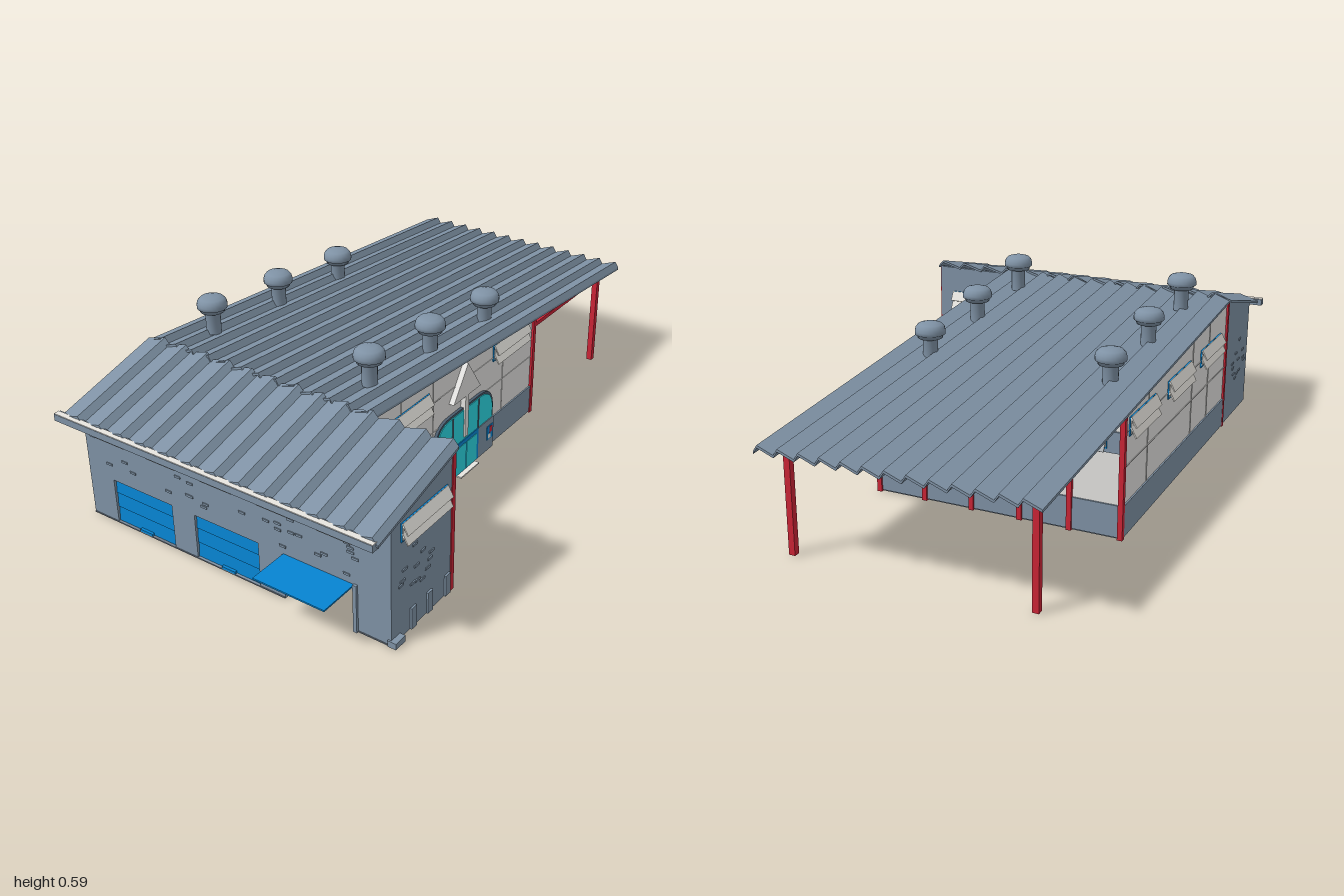
import * as THREE from 'three';

const mat = (name, color) => {
  const m = new THREE.MeshStandardMaterial({ color });
  m.name = name;
  return m;
};

export function createModel() {
  const slate = mat('slate', 0x7f92a5), dark = mat('dark frame', 0x4a5b6c), light = mat('light panel', 0xe4e3e1),
    white = mat('white trim', 0xf0eee8), grey = mat('grey louver', 0xb0b5b9), blue = mat('door blue', 0x0684d2),
    cyan = mat('cyan glass', 0x2cd8e4), red = mat('red steel', 0xcc2436), floorDark = mat('floor', 0x707c89);
  const model = new THREE.Group();
  const hallX = 0.252; // outer face of the hall's entrance wall

  const add = (name, geo, m, parent = model) => {
    const mesh = new THREE.Mesh(geo, m);
    mesh.name = name;
    parent.add(mesh);
    return mesh;
  };
  // Box given by its lower and upper limits on each axis
  const box = (name, m, x0, x1, y0, y1, z0, z1, parent) => {
    const b = add(name, new THREE.BoxGeometry(x1 - x0, y1 - y0, z1 - z0), m, parent);
    b.position.set((x0 + x1) / 2, (y0 + y1) / 2, (z0 + z1) / 2);
    return b;
  };
  const polygon = pts => new THREE.Shape(pts.map(p => new THREE.Vector2(p[0], p[1])));
  // Plate drawn in (z, y) with its outer face at x
  const sidePlate = (name, m, shape, x, t) => {
    const g = new THREE.ExtrudeGeometry(shape, { depth: t, bevelEnabled: false, curveSegments: 8 });
    g.rotateY(-Math.PI / 2);
    add(name, g, m).position.x = x;
  };
  const hallRoofY = z => 0.465 + 0.0764 * (z - 0.57);
  const frontRoofY = z => 0.465 - 0.263 * (z - 0.57);

  // Floor and hall walls
  box('hallFloor', floorDark, -0.55, hallX, 0, 0.006, -0.415, 0.57);
  const hallSide = polygon([[-0.415, 0], [0.57, 0], [0.57, hallRoofY(0.57)], [-0.415, hallRoofY(-0.415)]]);
  sidePlate('hallRightWall', light, hallSide, hallX, 0.015);
  sidePlate('hallLeftWall', light, hallSide, -0.535, 0.015);
  box('hallBackWall', light, -0.55, hallX, 0, hallRoofY(-0.415), -0.415, -0.4);
  box('rightWainscot', slate, hallX - 0.002, hallX + 0.005, 0.005, 0.105, -0.415, 0.57);
  box('leftWainscot', slate, -0.555, -0.548, 0.005, 0.105, -0.415, 0.57);
  box('backWainscot', slate, -0.55, hallX, 0.005, 0.105, -0.42, -0.413);
  for (const x of [hallX, -0.55]) {
    for (const y of [0.22, 0.325]) box('panelSeam', light, x - 0.002, x + 0.002, y, y + 0.003, -0.415, 0.57);
    for (const z of [-0.22, 0.2, 0.375]) box('panelSeam', light, x - 0.002, x + 0.002, 0.105, hallRoofY(z), z, z + 0.003);
  }

  // Front block walls, with three gate openings
  const blockSide = polygon([[0.57, 0], [0.87, 0], [0.87, frontRoofY(0.87)], [0.57, 0.465]]);
  sidePlate('blockRightWall', slate, blockSide, 0.56, 0.015);
  sidePlate('blockLeftWall', slate, blockSide, -0.535, 0.015);
  box('blockBackWall', slate, -0.55, 0.56, 0, 0.463, 0.566, 0.58);
  const gates = [[-0.45, -0.215], [-0.127, 0.11]];
  const face = polygon([[-0.55, 0], [0.2, 0], [0.2, 0.152], [0.44, 0.152], [0.44, 0], [0.56, 0], [0.56, 0.385], [-0.55, 0.385]]);
  for (const [a, b] of gates) {
    face.holes.push(new THREE.Path([[a, 0.004], [a, 0.152], [b, 0.152], [b, 0.004]].map(p => new THREE.Vector2(...p))));
  }
  add('blockFrontWall', new THREE.ExtrudeGeometry(face, { depth: 0.03, bevelEnabled: false }), slate).position.z = 0.84;
  for (const [a, b] of [[-0.55, 0.2], [0.44, 0.56]]) box('frontFooting', floorDark, a, b, 0, 0.004, 0.81, 0.872);
  box('cornerKerb', slate, 0.55, 0.578, 0, 0.02, 0.83, 0.875);
  for (const [a, b] of gates) {
    box('gateBacking', blue, a, b, 0.004, 0.152, 0.846, 0.852);
    for (let i = 0; i < 3; i++) box('gatePanel', blue, a, b, 0.004 + i * 0.05, 0.053 + i * 0.05, 0.85, 0.862).rotation.x = -0.06;
    const c = (a + b) / 2;
    box('gateHandle', blue, c - 0.025, c + 0.025, 0.004, 0.012, 0.86, 0.872);
  }
  box('raisedGate', blue, 0.2, 0.44, 0.149, 0.154, 0.85, 1);
  box('gateRail', slate, 0.44, 0.452, 0, 0.157, 0.84, 0.878);
  for (const z of [0.6, 0.69, 0.77]) box('basePilaster', slate, 0.56, 0.566, 0, 0.07, z - 0.012, z + 0.012);

  // Scattered raised bricks on the front block
  let seed = 7;
  const rnd = () => (seed = (seed * 16807) % 2147483647) / 2147483647;
  for (let i = 0; i < 26; i++) {
    const x = -0.53 + rnd() * 1.03, y = 0.17 + rnd() * 0.12;
    box('raisedBrick', slate, x, x + 0.022, y, y + 0.007, 0.868, 0.873);
  }
  for (let i = 0; i < 12; i++) {
    const z = 0.59 + rnd() * 0.24, y = 0.1 + rnd() * 0.18;
    for (const x of [0.56, -0.55]) box('raisedBrick', slate, x - 0.003, x + 0.003, y, y + 0.007, z, z + 0.022);
  }

  // Corrugated roofs: a sawtooth sheet swept along z and sloped by a rule
  const roof = (name, x0, x1, z0, z1, yAt) => {
    const n = 13, p = (x1 - x0) / n, top = [];
    for (let i = 0; i < n; i++) top.push([x0 + i * p, 0], [x0 + (i + 0.8) * p, 0.02]);
    top.push([x1, 0]);
    const under = top.map(([x, y]) => [x, y - 0.008]);
    const g = new THREE.ExtrudeGeometry(polygon([...under, ...top.reverse()]), { depth: z1 - z0, bevelEnabled: false });
    const pos = g.attributes.position;
    for (let i = 0; i < pos.count; i++) {
      const z = pos.getZ(i) + z0;
      pos.setXYZ(i, pos.getX(i), pos.getY(i) + yAt(z), z);
    }
    g.computeVertexNormals();
    add(name, g, slate);
  };
  roof('hallRoof', -0.56, 0.287, -1, 0.572, hallRoofY);
  roof('frontRoof', -0.566, 0.566, 0.56, 0.935, frontRoofY);
  box('gutter', slate, -0.58, 0.56, 0.355, 0.377, 0.925, 0.95);
  box('gutterLip', white, -0.58, 0.56, 0.377, 0.379, 0.93, 0.949);

  // Roof ventilators
  const ventPts = [[0.024, -0.125], [0.024, -0.052], [0.039, -0.05], [0.041, -0.04], [0.048, -0.037], [0.048, -0.026],
    [0.045, -0.015], [0.037, -0.006], [0.02, -0.001], [0, 0]].map(p => new THREE.Vector2(...p));
  const ventGeo = new THREE.LatheGeometry(ventPts, 20);
  for (const x of [-0.437, 0.163]) {
    for (const z of [-0.24, 0.085, 0.405]) add('roofVent', ventGeo, slate).position.set(x, 0.544 + 0.107 * (z - 0.03), z);
  }

  // Louvered windows, facing +z before turning; low is the frame's lower edge
  const louverWindow = (w, x, y, z, turn, board, low, endGap) => {
    const g = new THREE.Group();
    g.name = 'louverWindow';
    g.position.set(x, y, z);
    g.rotation.y = turn;
    box('windowFrame', blue, -w / 2, w / 2, low, 0.03, -0.002, 0.004, g);
    box('windowPane', white, -w / 2 + 0.004, w / 2 - 0.002, low + 0.005, 0.028, 0, 0.006, g);
    for (const h of [0.014, -0.017]) {
      const b = box('louver', board, -w / 2 + 0.002, w / 2 - endGap, h - 0.018, h + 0.018, 0.011, 0.015, g);
      b.rotation.x = -0.5;
    }
    model.add(g);
  };
  for (let i = 0; i < 5; i++) louverWindow(0.135, -0.417 + i * 0.205, 0.333, 0.87, 0, grey, -0.035, 0.02);
  for (const z of [0.335, -0.262]) louverWindow(0.22, hallX, 0.342, z, Math.PI / 2, white, -0.028, 0.004);
  louverWindow(0.22, 0.56, 0.342, 0.717, Math.PI / 2, white, -0.028, 0.002);
  for (const z of [-0.27, 0.065, 0.395]) louverWindow(0.22, -0.55, 0.335, z, -Math.PI / 2, white, -0.028, 0.002);
  louverWindow(0.21, 0.405, 0.342, 0.566, Math.PI, white, -0.028, 0.002);
  box('backWindowBand', slate, -0.54, hallX - 0.01, 0.265, 0.33, -0.421, -0.414);
  for (const x of [-0.4, -0.14, 0.12]) louverWindow(0.2, x, 0.305, -0.42, Math.PI, grey, -0.028, 0.002);

  // Entrance: arched glazing, low side walls, sliding doors, posters
  const arch = (z0, z1, top, r) => {
    const s = new THREE.Shape();
    s.moveTo(z0, 0.005);
    s.lineTo(z1, 0.005);
    s.lineTo(z1, top - r);
    s.quadraticCurveTo(z1, top, z1 - r, top);
    s.lineTo(z0 + r, top);
    s.quadraticCurveTo(z0, top, z0, top - r);
    return s;
  };
  const ex = hallX + 0.01;
  sidePlate('entranceFrame', dark, arch(-0.147, 0.203, 0.237, 0.085), ex, 0.012);
  sidePlate('entranceGlass', cyan, arch(-0.139, 0.195, 0.229, 0.078), ex + 0.003, 0.004);
  for (const z of [0.105, -0.05]) box('mullion', dark, ex, ex + 0.005, 0.12, 0.228, z - 0.003, z + 0.003);
  for (const [a, b, c] of [[0.105, 0.2, 0.175], [-0.145, -0.05, -0.12]]) {
    box('entranceSideWall', slate, hallX, ex + 0.006, 0.004, 0.12, a, b);
    box('poster', blue, ex + 0.005, ex + 0.008, 0.045, 0.097, c - 0.018, c + 0.018);
    box('posterRed', red, ex + 0.007, ex + 0.009, 0.07, 0.092, c - 0.013, c + 0.004);
    box('posterWhite', white, ex + 0.007, ex + 0.009, 0.05, 0.066, c - 0.004, c + 0.012);
  }
  box('doorFrame', blue, hallX, ex + 0.006, 0.004, 0.12, -0.05, 0.105);
  for (const z of [0.062, -0.006]) box('doorGlass', cyan, ex + 0.005, ex + 0.008, 0.008, 0.106, z - 0.031, z + 0.031);
  box('entranceStep', white, 0.2, 0.285, -0.001, 0.004, -0.03, 0.08);
  // Pointed wall relief above the door
  sidePlate('entranceRelief', light, polygon([[0.02, 0.13], [0.04, 0.13], [0.04, 0.28], [0.11, 0.28], [0.03, 0.395],
    [-0.05, 0.28], [0.02, 0.28]]), ex + 0.008, 0.018);

  // Red steel columns and rear canopy frame
  const column = (x, z, top, r = 0.008) => box('redColumn', red, x - r, x + r, 0, top, z - r, z + r);
  column(0.555, 0.575, 0.46);
  column(-0.548, 0.575, 0.46);
  for (let i = 0; i < 6; i++) column(hallX - i * 0.16, -0.418, hallRoofY(-0.418));
  for (const x of [0.25, -0.5]) {
    column(x, -0.895, hallRoofY(-0.895), 0.01);
    box('canopyBeam', red, x - 0.009, x + 0.009, 0.331, 0.345, -0.9, -0.42);
  }
  box('canopyMidBeam', red, -0.134, -0.116, 0.331, 0.345, -0.9, -0.42);
  for (const z of [-0.65, -0.895]) box('canopyCrossbar', red, -0.51, 0.26, 0.331, 0.345, z - 0.009, z + 0.009);

  // Wall units
  box('wallUnit', slate, 0.29, 0.35, 0.21, 0.262, 0.512, 0.57);
  box('wallUnit', slate, 0.16, 0.23, 0.13, 0.18, -0.445, -0.42);

  return model;
}
